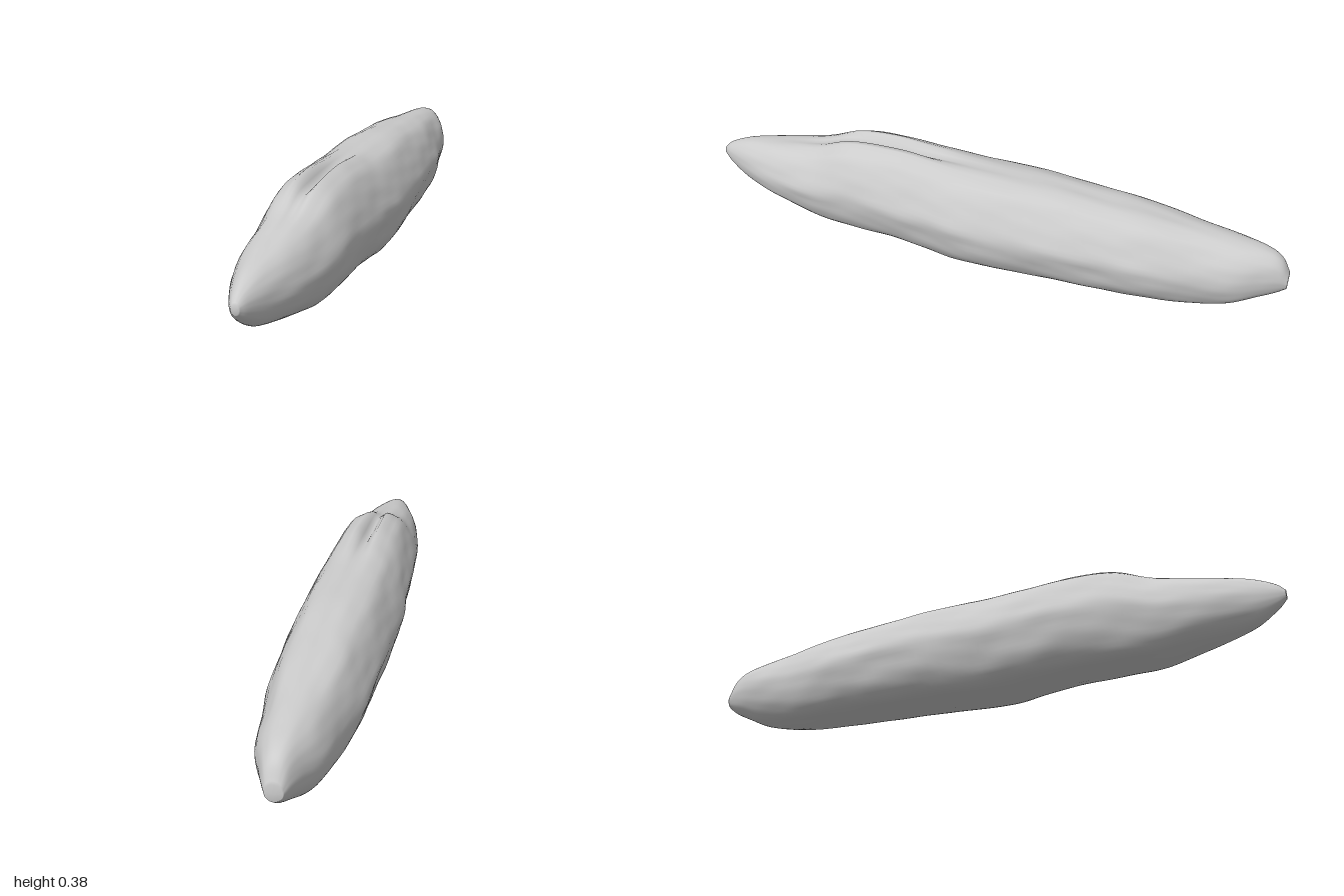
import * as THREE from 'three';

const RINGS = 110, SIDES = 64;

// Stations from nose to tail: [z, half width, top y, bottom y]
const STATIONS = [
  [1.0, 0.012, 0.215, 0.185], [0.97, 0.03, 0.24, 0.155], [0.9, 0.06, 0.268, 0.11],
  [0.8, 0.096, 0.288, 0.08], [0.7, 0.118, 0.305, 0.06], [0.6, 0.133, 0.325, 0.04],
  [0.48, 0.146, 0.368, 0.036], [0.32, 0.156, 0.376, 0.031], [0.18, 0.162, 0.368, 0.018],
  [0.04, 0.17, 0.357, 0.005], [-0.2, 0.165, 0.353, 0.013], [-0.4, 0.156, 0.336, 0.016],
  [-0.54, 0.148, 0.321, 0.017], [-0.7, 0.12, 0.3, 0.02], [-0.83, 0.1, 0.283, 0.044],
  [-0.92, 0.064, 0.268, 0.085], [-0.97, 0.042, 0.242, 0.112], [-1.0, 0.026, 0.19, 0.135],
];

// Right half of the blocky mid-body cross-section, bottom to top, in -1..1
const HALF = [
  [0, -1], [0.3, -0.96], [0.62, -0.89], [0.85, -0.6], [0.96, -0.2], [1, 0.05],
  [0.9, 0.3], [0.76, 0.58], [0.58, 0.84], [0.4, 0.93], [0.22, 0.98], [0, 0.97],
];

const spline = (points) => new THREE.CatmullRomCurve3(points, false, 'catmullrom', 0.5);
const bump = (v, centre, width) => Math.exp(-(((v - centre) / width) ** 2));

// Gentle lengthwise dents that roughen the surface
function roughness(z, a) {
  return 0.014 * Math.sin(3 * a + 5 * z) * Math.sin(9 * z + 2 * a)
    + 0.01 * Math.sin(7 * a - 6 * z + 1) * Math.sin(17 * z + 3 * a)
    + 0.006 * Math.sin(13 * a + 11 * z) * Math.sin(31 * z - 5 * a);
}

function createBodyGeometry() {
  const topLine = spline(STATIONS.map(([z, w, t]) => new THREE.Vector3(w, t, z)));
  const bottomLine = spline(STATIONS.map(([z, , , b]) => new THREE.Vector3(0, b, z)));
  const loop = [...HALF, ...HALF.slice(1, -1).reverse().map(([x, y]) => [-x, y])];
  const section = new THREE.CatmullRomCurve3(
    loop.map(([x, y]) => new THREE.Vector3(x, y, 0)), true, 'catmullrom', 0.5);
  const outline = section.getSpacedPoints(SIDES).slice(0, SIDES);

  const positions = [], indices = [];
  for (let i = 0; i <= RINGS; i++) {
    const t = i / RINGS;
    const top = topLine.getPoint(t), bottom = bottomLine.getPoint(t);
    const z = top.z, middle = (top.y + bottom.y) / 2, height = (top.y - bottom.y) / 2;
    // Oval at the ends, blocky in the middle
    const blocky = 0.85 * (1 - THREE.MathUtils.smoothstep(Math.abs(z), 0.5, 0.95));
    for (const p of outline) {
      const a = Math.atan2(p.y, p.x);
      let x = THREE.MathUtils.lerp(Math.cos(a), p.x, blocky);
      let y = THREE.MathUtils.lerp(Math.sin(a), p.y, blocky);
      // Shallow groove between two ridges along the front of the back
      if (p.y > 0) {
        const length = bump(z, 0.36, 0.2);
        y += length * (0.05 * bump(Math.abs(x), 0.24, 0.13) - 0.2 * bump(x, 0, 0.11));
      }
      const r = 1 + roughness(z, a);
      x *= r;
      y *= 1 + (r - 1) * 0.6;
      positions.push(x * top.x, Math.max(0, middle + y * height), z);
    }
  }

  for (let i = 0; i < RINGS; i++) {
    for (let j = 0; j < SIDES; j++) {
      const k = (j + 1) % SIDES;
      const a = i * SIDES + j, c = i * SIDES + k;
      indices.push(a, a + SIDES, c, c, a + SIDES, c + SIDES);
    }
  }

  // Close the nose and the tail
  const nose = positions.length / 3, tail = nose + 1, last = RINGS * SIDES;
  positions.push(0, 0.2, 1, 0, 0.16, -1);
  for (let j = 0; j < SIDES; j++) {
    const k = (j + 1) % SIDES;
    indices.push(nose, j, k, tail, last + k, last + j);
  }

  const geometry = new THREE.BufferGeometry();
  geometry.setAttribute('position', new THREE.Float32BufferAttribute(positions, 3));
  geometry.setIndex(indices);
  geometry.computeVertexNormals();
  return geometry;
}

export function createModel() {
  const group = new THREE.Group();
  group.name = 'elongatedRock';
  const body = new THREE.Mesh(
    createBodyGeometry(), new THREE.MeshStandardMaterial({ color: 0xcccccc }));
  body.name = 'rockBody';
  group.add(body);
  return group;
}
